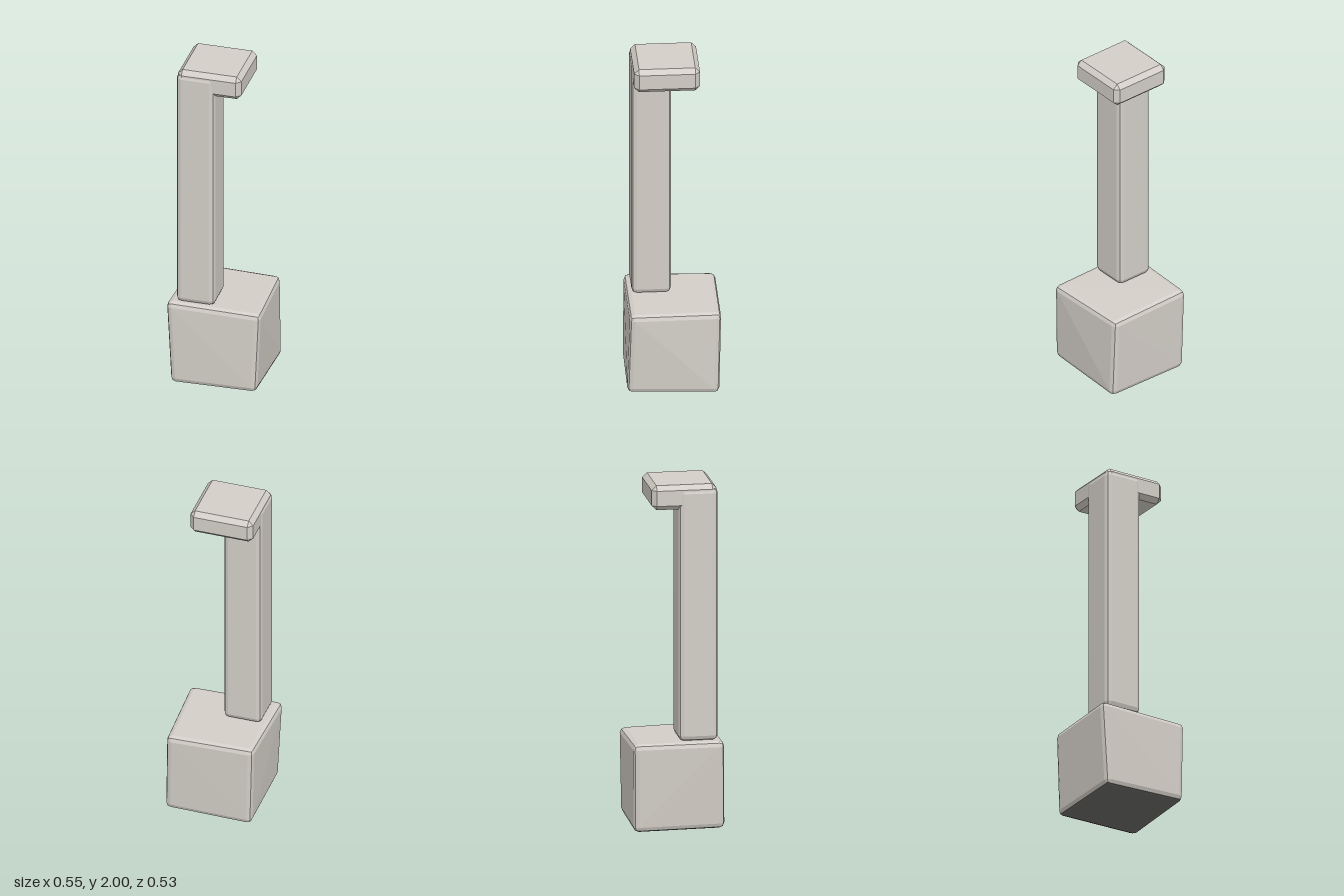
import * as THREE from 'three';
import { ConvexGeometry } from 'three/addons/geometries/ConvexGeometry.js';

const stone = new THREE.MeshStandardMaterial({ color: 0xd3cec7 });
stone.name = 'warm light grey';
const shade = new THREE.MeshStandardMaterial({ color: 0x6b6a67 });
shade.name = 'dark grey';

// Solid hull around eight corners, each cut by a bevel of one or two steps.
function beveledBlock(name, corners, r, steps) {
  const points = [];
  for (const [sx, sy, sz, x, y, z] of corners) {
    const s = new THREE.Vector3(sx, sy, sz);
    const centre = new THREE.Vector3(x, y, z).addScaledVector(s, -r);
    const dirs = [[1, 0, 0], [0, 1, 0], [0, 0, 1]];
    if (steps > 1) dirs.push([1, 1, 0], [1, 0, 1], [0, 1, 1], [1, 1, 1]);
    for (const d of dirs) {
      const v = new THREE.Vector3(...d).normalize().multiply(s);
      points.push(centre.clone().addScaledVector(v, r));
    }
  }
  const mesh = new THREE.Mesh(new ConvexGeometry(points), stone);
  mesh.name = name;
  return mesh;
}

// Gives every face that points steeply down the dark colour.
function darkenUnderside(mesh) {
  const normal = mesh.geometry.attributes.normal;
  for (let i = 0; i < normal.count; i += 3) {
    mesh.geometry.addGroup(i, 3, normal.getY(i) < -0.8 ? 1 : 0);
  }
  mesh.material = [stone, shade];
  return mesh;
}

// The eight signed corners of an upright box.
function boxCorners(x0, x1, y0, y1, z0, z1) {
  const out = [];
  for (const sx of [-1, 1]) for (const sy of [-1, 1]) for (const sz of [-1, 1]) {
    out.push([sx, sy, sz, sx < 0 ? x0 : x1, sy < 0 ? y0 : y1, sz < 0 ? z0 : z1]);
  }
  return out;
}

export function createModel() {
  const group = new THREE.Group();
  group.name = 'pillarOnBlock';

  // Slightly crooked base block: signs, then position of each corner
  group.add(darkenUnderside(beveledBlock('baseBlock', [
    [-1, 1, 1, -0.275, 0.516, 0.253],
    [1, 1, 1, 0.274, 0.508, 0.253],
    [1, 1, -1, 0.253, 0.5, -0.265],
    [-1, 1, -1, -0.264, 0.511, -0.266],
    [-1, -1, 1, -0.25, 0.006, 0.258],
    [1, -1, 1, 0.258, 0.017, 0.266],
    [1, -1, -1, 0.262, 0.002, -0.255],
    [-1, -1, -1, -0.252, 0, -0.262],
  ], 0.03, 2)));

  // Tall post standing on the front corner
  group.add(beveledBlock('post', boxCorners(-0.226, 0, 0.513, 1.98, 0, 0.224), 0.03, 2));

  // Chamfered slab overhanging the post
  group.add(beveledBlock('capSlab', boxCorners(-0.221, 0.151, 1.858, 2, -0.153, 0.219), 0.027, 1));

  return group;
}
